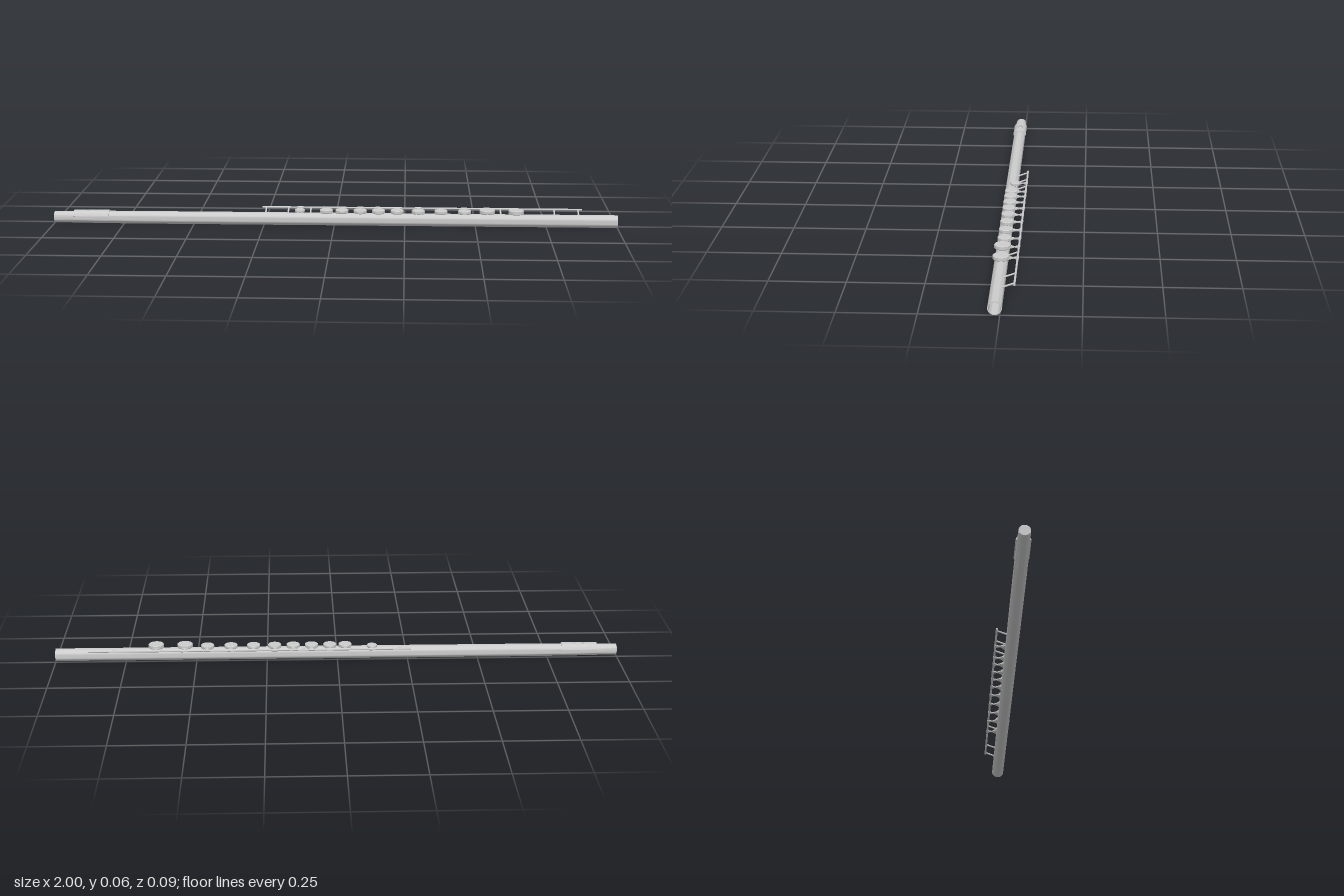
import * as THREE from 'three';
import { toCreasedNormals } from 'three/addons/utils/BufferGeometryUtils.js';

const AXIS_Y = 0.0225, AXIS_Z = 0.016, R = 0.0225;   // bore axis and body radius
const ROD_Y = 0.052, ROD_Z = -0.0385;                // hinge rod axis
const material = new THREE.MeshStandardMaterial({ color: 0xcccccc, side: THREE.DoubleSide });

function add(parent, name, geometry, x = 0, y = 0, z = 0) {
  const mesh = new THREE.Mesh(geometry, material);
  mesh.name = name;
  mesh.position.set(x, y, z);
  parent.add(mesh);
  return mesh;
}

// Revolve [x, radius] points about the long axis
function turned(points, segments = 40, start = 0, length = Math.PI * 2) {
  const profile = points.map(([x, r]) => new THREE.Vector2(r, x));
  const g = new THREE.LatheGeometry(profile, segments, start, length);
  g.rotateZ(-Math.PI / 2);
  return toCreasedNormals(g, 0.6);
}

// Cylinder between two points
function bar(parent, name, a, b, r) {
  const dir = b.clone().sub(a);
  const mesh = add(parent, name, new THREE.CylinderGeometry(r, r, dir.length(), 12));
  mesh.position.copy(a).add(b).multiplyScalar(0.5);
  mesh.quaternion.setFromUnitVectors(new THREE.Vector3(0, 1, 0), dir.normalize());
}

// Curved mouthpiece plate: rings run from the blow hole out to a rectangle, bent over the tube
function lipPlateGeometry(halfLength, halfArc, radius) {
  const around = 64, rows = 9;
  const g = new THREE.PlaneGeometry(1, 1, around, rows);
  const p = g.attributes.position;
  for (let row = 0; row <= rows; row++) {
    const s = THREE.MathUtils.clamp((row - 1) / (rows - 2), 0, 1);
    const r = row === 0 ? radius - 0.008 : row === rows ? radius - 0.007 : radius;
    for (let i = 0; i <= around; i++) {
      const t = -i / around * Math.PI * 2, c = Math.cos(t), n = Math.sin(t);
      const m = Math.max(Math.abs(c), Math.abs(n));
      const x = THREE.MathUtils.lerp(0.02 * c, halfLength * c / m, s);
      const a = THREE.MathUtils.lerp(0.46 * n, halfArc * n / m, s);
      p.setXYZ(row * (around + 1) + i, x, r * Math.cos(a), r * Math.sin(a));
    }
  }
  return toCreasedNormals(g, 0.6);
}

// Teardrop arm with a flared foot on the rod
function armGeometry(r, cz) {
  const back = -ROD_Z, neck = 0.024, cy = -cz;
  const s = new THREE.Shape();
  const tangent = Math.asin(Math.min(0.95, r / (neck - cy)));
  s.moveTo(-0.011, back);
  s.lineTo(-0.002, neck);
  s.absarc(0, cy, r * 0.97, Math.PI - tangent, Math.PI * 2 + tangent, false);
  s.lineTo(0.002, neck);
  s.lineTo(0.011, back);
  const g = new THREE.ExtrudeGeometry(s, { depth: 0.004, bevelEnabled: false, curveSegments: 24 });
  return g.rotateX(-Math.PI / 2);
}

function addKey(parent, x, r, cz, top) {
  const key = new THREE.Group();
  key.name = 'key';
  key.position.x = x;
  parent.add(key);
  // Cup with softened rim
  const bottom = top > 0.058 ? 0.047 : 0.0445, b = 0.002;
  const profile = [[0, bottom], [r - b, bottom], [r, bottom + b], [r, top - b], [r - b, top], [0, top]]
    .map(([px, py]) => new THREE.Vector2(px, py));
  add(key, 'keyCup', toCreasedNormals(new THREE.LatheGeometry(profile, 28), 0.6), 0, 0, cz);
  add(key, 'keyArm', armGeometry(r, cz), 0, 0.049, 0);
  add(key, 'keySleeve', turned([[-0.011, 0.003], [-0.011, 0.0045], [0.011, 0.0045], [0.011, 0.003]], 14), 0, ROD_Y, ROD_Z);
}

export function createModel() {
  const flute = new THREE.Group();
  flute.name = 'flute';

  // Tubing: closed crown, head, open-backed trough below the lip plate, hollow body
  add(flute, 'headCrown', turned([[-1, 0], [-1, 0.0175], [-0.998, 0.0195], [-0.925, 0.0205], [-0.925, 0.018]]), 0, AXIS_Y, AXIS_Z);
  const trough = add(flute, 'headTrough', turned([[-0.065, 0.0205], [0.065, 0.0222]], 30, -Math.PI * 0.62, Math.PI * 1.24), -0.865, AXIS_Y, AXIS_Z);
  trough.rotation.x = Math.PI / 2;
  add(flute, 'body', turned([[-0.802, 0.019], [-0.802, 0.0222], [-0.7, R], [1, R], [1, 0.0195], [-0.802, 0.019]]), 0, AXIS_Y, AXIS_Z);

  // Lip plate with blow hole
  add(flute, 'lipPlate', lipPlateGeometry(0.063, 1.3, 0.0258), -0.865, AXIS_Y, AXIS_Z);

  // Hinge rod and its posts
  bar(flute, 'hingeRod', new THREE.Vector3(-0.26, ROD_Y, ROD_Z), new THREE.Vector3(0.88, ROD_Y, ROD_Z), 0.0035);
  for (const x of [-0.245, -0.165, -0.085, 0.59, 0.78, 0.865]) {
    bar(flute, 'rodPost', new THREE.Vector3(x, ROD_Y, ROD_Z), new THREE.Vector3(x, 0.037, 0.002), 0.003);
  }

  // Keys: one small, eight medium, two large
  addKey(flute, -0.123, 0.018, 0.003, 0.055);
  for (const x of [-0.028, 0.027, 0.092, 0.157, 0.223, 0.298, 0.378, 0.461]) addKey(flute, x, 0.0235, 0.012, 0.057);
  for (const x of [0.541, 0.643]) addKey(flute, x, 0.0275, 0.015, 0.061);
  return flute;
}
